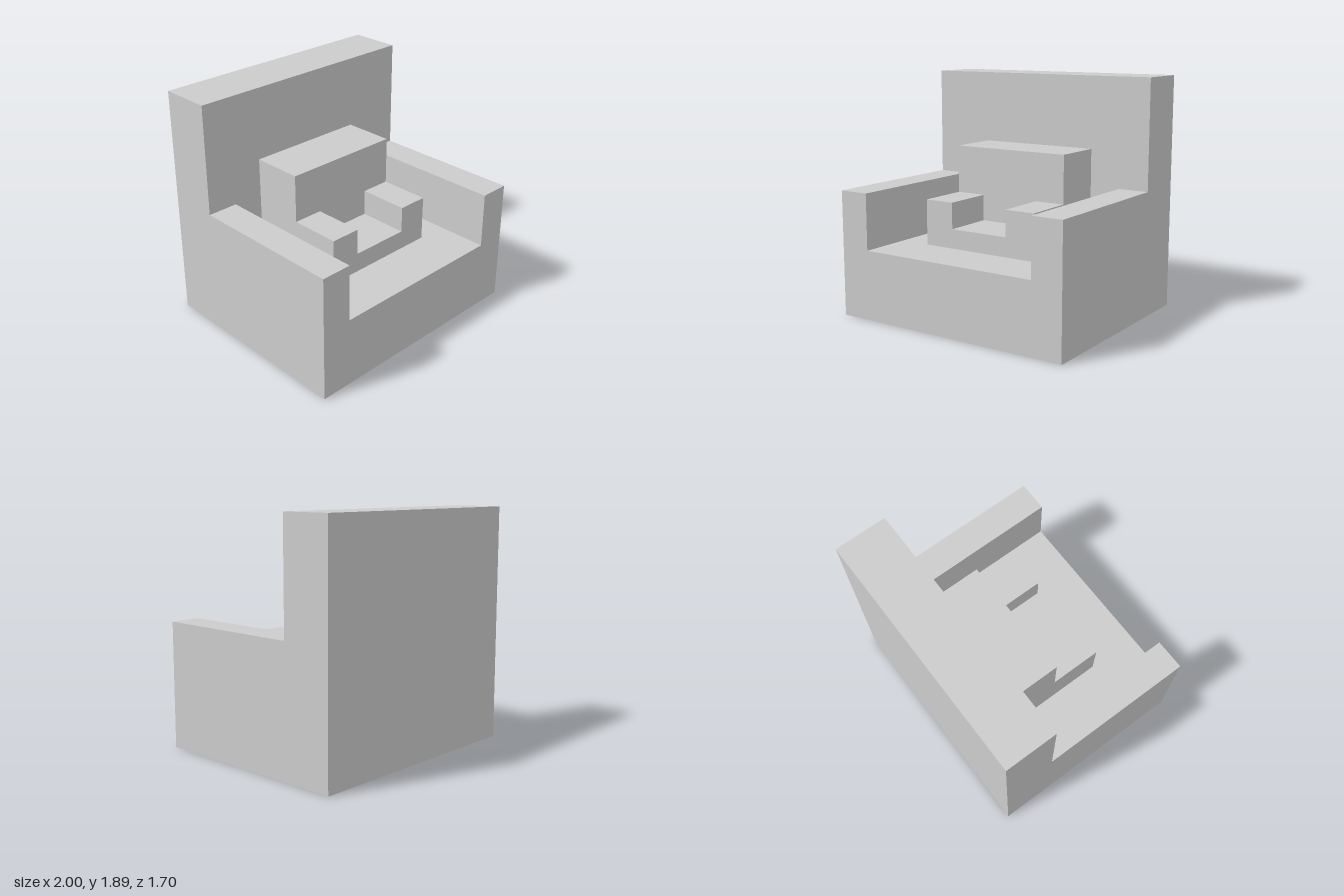
import * as THREE from 'three';

const material = new THREE.MeshStandardMaterial({ color: 0xcccccc, flatShading: true });
const SKEW = -0.0125; // depth shifts slightly across the width

// Extrude an x/y outline from z0 to z1, then skew it in depth
function block(name, points, z0, z1) {
  const shape = new THREE.Shape(points.map(([x, y]) => new THREE.Vector2(x, y)));
  const geometry = new THREE.ExtrudeGeometry(shape, { depth: z1 - z0, bevelEnabled: false });
  geometry.translate(0, 0, z0);
  geometry.applyMatrix4(new THREE.Matrix4().set(1, 0, 0, 0, 0, 1, 0, 0, SKEW, 0, 1, 0, 0, 0, 0, 1));
  geometry.computeVertexNormals();
  const mesh = new THREE.Mesh(geometry, material);
  mesh.name = name;
  return mesh;
}

// Blocky armchair: tall back slab plus a U-shaped seat with two arms
function armchair(name, { half, inner, base, seat, arm, top, back, mid, front }) {
  const chair = new THREE.Group();
  chair.name = name;
  chair.add(
    block('backrest', [[-half, base], [half, base], [half, top], [-half, top]], back, mid),
    block('seatAndArms', [
      [-half, base], [half, base], [half, arm], [inner, arm],
      [inner, seat], [-inner, seat], [-inner, arm], [-half, arm],
    ], mid, front),
  );
  return chair;
}

export function createModel() {
  const model = new THREE.Group();
  model.name = 'nestedArmchairs';
  model.add(
    armchair('largeArmchair', {
      half: 1, inner: 0.75, base: 0, seat: 0.56, arm: 1.01, top: 1.89,
      back: -0.838, mid: -0.421, front: 0.838,
    }),
    // Small chair sitting on the large seat, against its backrest
    armchair('smallArmchair', {
      half: 0.5, inner: 0.25, base: 0.56, seat: 0.715, arm: 0.925, top: 1.31,
      back: -0.421, mid: 0, front: 0.415,
    }),
  );
  return model;
}
